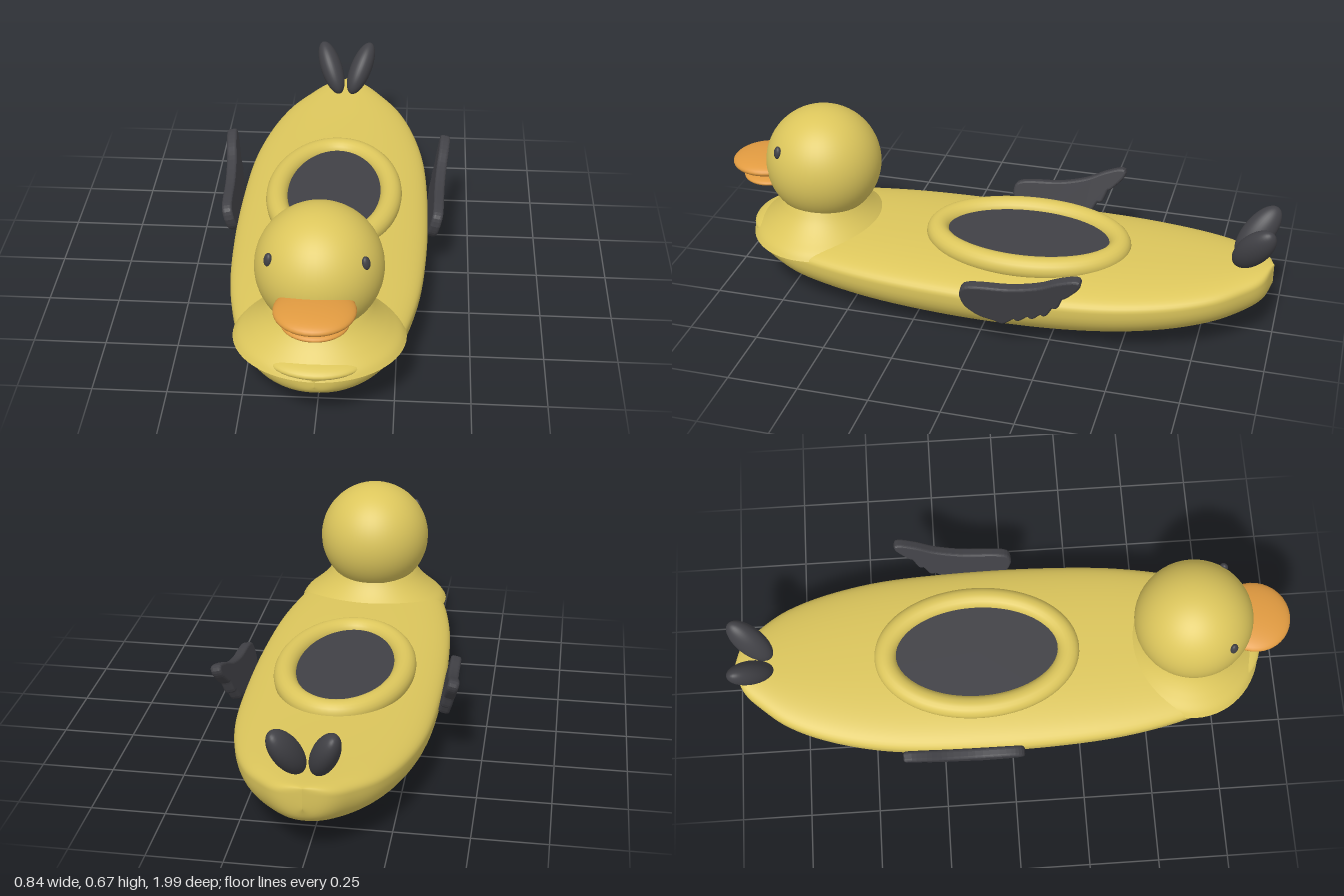
import * as THREE from 'three';

const mat = (name, color, side = THREE.FrontSide) => {
  const m = new THREE.MeshStandardMaterial({ color, side });
  m.name = name;
  return m;
};

export function createModel() {
  const yellow = mat('yellow', 0xdcc65c);
  const orange = mat('orange', 0xe09a40);
  const dark = mat('charcoal', 0x414146);
  const group = new THREE.Group();

  const add = (name, geometry, material, x = 0, y = 0, z = 0) => {
    const mesh = new THREE.Mesh(geometry, material);
    mesh.name = name;
    mesh.position.set(x, y, z);
    group.add(mesh);
    return mesh;
  };
  const ellipsoid = (rx, ry, rz) => new THREE.SphereGeometry(1, 36, 24).scale(rx, ry, rz);

  // Hull: superellipse sections lofted from bow to stern
  const stations = [ // z, half width, bottom, top
    [0.92, 0.0, 0.18, 0.215], [0.905, 0.075, 0.15, 0.225], [0.86, 0.15, 0.115, 0.235],
    [0.78, 0.215, 0.08, 0.245], [0.65, 0.275, 0.048, 0.252], [0.4, 0.325, 0.018, 0.255],
    [0.1, 0.345, 0.002, 0.255], [-0.2, 0.343, 0.003, 0.256], [-0.45, 0.325, 0.021, 0.259],
    [-0.65, 0.282, 0.047, 0.265], [-0.8, 0.222, 0.08, 0.272], [-0.9, 0.148, 0.115, 0.278],
    [-0.96, 0.085, 0.155, 0.28], [-0.985, 0.0, 0.205, 0.278],
  ];
  const spline = (f) => new THREE.CatmullRomCurve3(stations.map(f), false, 'catmullrom', 0.5);
  const widths = spline(([z, w]) => new THREE.Vector3(w, 0, z));
  const heights = spline(([z, , b, t]) => new THREE.Vector3(b, t, z));
  const rows = 78, sides = 64, pos = [], index = [];
  const power = (v, e) => Math.sign(v) * Math.abs(v) ** e;
  for (let i = 0; i <= rows; i++) {
    const { x: w, z } = widths.getPoint(i / rows);
    const { x: bottom, y: top } = heights.getPoint(i / rows);
    const mid = bottom + (top - bottom) * 0.7;
    for (let j = 0; j < sides; j++) {
      const a = (j / sides) * Math.PI * 2, s = power(Math.sin(a), 0.88);
      pos.push(w * power(Math.cos(a), 0.88), mid + s * (s > 0 ? top - mid : mid - bottom), z);
      if (i === rows) continue;
      const k = (j + 1) % sides, p = i * sides, q = p + sides;
      index.push(p + j, q + j, p + k, q + j, q + k, p + k);
    }
  }
  const hull = new THREE.BufferGeometry();
  hull.setAttribute('position', new THREE.Float32BufferAttribute(pos, 3));
  hull.setIndex(index);
  hull.computeVertexNormals();
  add('hull', hull, yellow);

  // Flared neck and rounded breast lip
  const flare = new THREE.SplineCurve([
    [0.284, 0.2], [0.268, 0.222], [0.235, 0.25], [0.205, 0.278], [0.18, 0.308], [0.158, 0.345],
  ].map(([r, y]) => new THREE.Vector2(r, y)));
  const neck = new THREE.LatheGeometry(flare.getPoints(24), 64).scale(1, 1, 0.9);
  add('neck', neck, yellow, 0, 0, 0.665);
  add('breastLip', ellipsoid(0.16, 0.032, 0.11), yellow, 0, 0.218, 0.815);

  // Head, flat underneath
  const headR = 0.208, cut = Math.acos(-0.145 / headR);
  add('head', new THREE.SphereGeometry(headR, 48, 32, 0, Math.PI * 2, 0, cut), yellow, 0, 0.464, 0.656);
  const chin = new THREE.CircleGeometry(headR * Math.sin(cut), 48).rotateX(Math.PI / 2);
  add('headUnderside', chin, yellow, 0, 0.319, 0.656);

  // Beak
  add('upperBeak', ellipsoid(0.13, 0.033, 0.128), orange, 0, 0.443, 0.872);
  add('lowerBeak', ellipsoid(0.108, 0.022, 0.1), orange, 0, 0.391, 0.862);

  // Seat ring and floor
  class Ellipse extends THREE.Curve {
    getPoint(t, target = new THREE.Vector3()) {
      const a = t * Math.PI * 2;
      return target.set(0.208 * Math.cos(a), 0, 0.332 * Math.sin(a));
    }
  }
  add('seatRing', new THREE.TubeGeometry(new Ellipse(), 96, 0.04, 20, true), yellow, 0, 0.258, -0.11);
  const floor = new THREE.CircleGeometry(1, 64).rotateX(-Math.PI / 2).scale(0.175, 1, 0.3);
  add('seatFloor', floor, dark, 0, 0.268, -0.11);

  // Wing outline, tip pointing back, with scalloped lower edge
  const outline = [
    [-0.03, 0.225], [-0.02, 0.26], [0.03, 0.273], [0.14, 0.282], [0.24, 0.308], [0.31, 0.342], [0.372, 0.362],
    [0.374, 0.34], [0.335, 0.295], [0.318, 0.283], [0.3, 0.24], [0.283, 0.235], [0.26, 0.195], [0.243, 0.198],
    [0.215, 0.172], [0.198, 0.179], [0.165, 0.152], [0.148, 0.158], [0.11, 0.128], [0.08, 0.137],
    [0.03, 0.15], [-0.015, 0.185],
  ].map(([x, y]) => new THREE.Vector2(x, y - 0.12));
  const edge = new THREE.SplineCurve([...outline, outline[0]]).getPoints(88).slice(0, -1);
  const wing = new THREE.ExtrudeGeometry(new THREE.Shape(edge), {
    depth: 0.016, bevelThickness: 0.011, bevelSize: 0.009, bevelSegments: 4,
  }).translate(0, 0, -0.008).rotateY(Math.PI / 2);

  for (const [side, s] of [['left', 1], ['right', -1]]) {
    const w = add(side + 'Wing', wing, dark, s * 0.348, 0.12, 0);
    w.rotation.z = -s * 0.23;

    // Raised feathers fanning toward the wing tip
    for (let i = 0; i < 4; i++) {
      const feather = new THREE.Mesh(ellipsoid(0.019, 0.014, 0.1 - i * 0.01), dark);
      feather.name = 'feather';
      feather.position.set(0, 0.132 - i * 0.027, -0.17 + i * 0.025);
      feather.rotation.x = 0.32 - i * 0.1;
      w.add(feather);
    }

    // Eyes
    const eye = add(side + 'Eye', ellipsoid(0.015, 0.023, 0.012), dark, s * 0.152, 0.554, 0.769);
    eye.rotation.set(-0.3, s * 0.92, s * 0.3);

    // Tail feathers, spread in a V
    const tail = add(side + 'TailFeather', ellipsoid(0.043, 0.112, 0.054), dark, s * 0.06, 0.362, -0.915);
    const lean = new THREE.Vector3(s * 0.038, 0.088, -0.06).normalize();
    tail.quaternion.setFromUnitVectors(new THREE.Vector3(0, 1, 0), lean);
  }
  return group;
}
